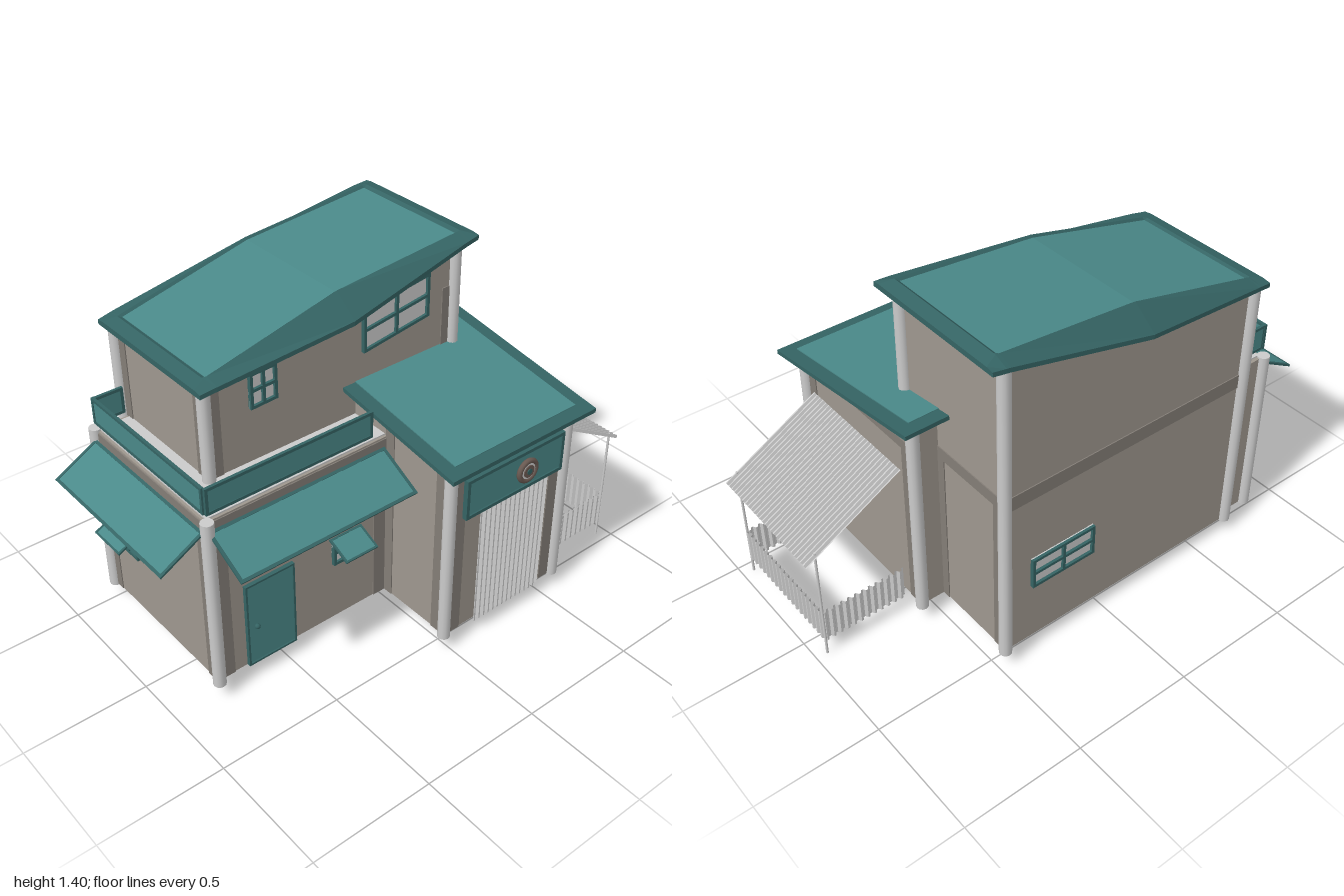
import * as THREE from 'three';

const mat = (color, extra = {}) => new THREE.MeshStandardMaterial({ color, ...extra });
const GREY = mat(0xcccccc), SHEET = mat(0xcccccc, { side: THREE.DoubleSide, flatShading: true });
const WALL = mat(0x9f988f), TRIM = mat(0x847e77), TEAL = mat(0x4a8989), DARK = mat(0x356464);
const RUST = mat(0x6a5a52);

function add(parent, name, geo, material, x = 0, y = 0, z = 0) {
  const m = new THREE.Mesh(geo, material);
  m.name = name;
  m.position.set(x, y, z);
  parent.add(m);
  return m;
}
const box = (p, name, m, x0, x1, y0, y1, z0, z1) =>
  add(p, name, new THREE.BoxGeometry(x1 - x0, y1 - y0, z1 - z0), m, (x0 + x1) / 2, (y0 + y1) / 2, (z0 + z1) / 2);

function group(parent, name, x = 0, y = 0, z = 0, ry = 0) {
  const g = new THREE.Group();
  g.name = name;
  g.position.set(x, y, z);
  g.rotation.y = ry;
  parent.add(g);
  return g;
}
const polygon = pts => new THREE.Shape(pts.map(p => new THREE.Vector2(...p)));
const extrude = (shape, depth) => new THREE.ExtrudeGeometry(shape, { depth, bevelEnabled: false });

function post(p, name, x, z, y0, y1, r = 0.025) {
  add(p, name, new THREE.CylinderGeometry(r, r, y1 - y0, 12), GREY, x, (y0 + y1) / 2, z);
}

// Frame with panes cut out; k slants it along x
function frameGeo(w, h, border, depth, cols, rows, k = 0) {
  const quad = (x0, x1, y0, y1) => [[x0, y0 + k * x0], [x1, y0 + k * x1], [x1, y1 + k * x1], [x0, y1 + k * x0]];
  const shape = polygon(quad(-w / 2, w / 2, -h / 2, h / 2));
  const pw = (w - border * (cols + 1)) / cols, ph = (h - border * (rows + 1)) / rows;
  for (let i = 0; i < cols; i++) for (let j = 0; j < rows; j++) {
    const x = -w / 2 + border + i * (pw + border), y = -h / 2 + border + j * (ph + border);
    shape.holes.push(polygon(quad(x, x + pw, y, y + ph)));
  }
  return extrude(shape, depth);
}

// Light panel with a raised dark border on both sides
function board(p, name, w, h, x, y, z, ry = 0, border = 0.012, t = 0.012) {
  const g = group(p, name, x, y, z, ry);
  add(g, 'panel', new THREE.BoxGeometry(w - border, h - border, t * 0.5), TEAL);
  add(g, 'border', frameGeo(w, h, border, t, 1, 1), DARK, 0, 0, -t / 2);
  return g;
}

// Sloping hood hung from a wall: top edge at y, falling by drop and reaching out
function awning(p, name, w, x, y, drop, out, border) {
  const g = board(p, name, w, Math.hypot(drop, out), x, y - drop / 2, 0.008 + out / 2, 0, border, 0.008);
  g.rotation.x = -Math.atan2(out, drop);
}

function windowUnit(p, name, w, h, x, y, k = 0) {
  const g = group(p, name, x, y, 0);
  add(g, 'frame', frameGeo(w, h, 0.012, 0.016, 2, 2, k), DARK);
  const q = polygon([[-w / 2, -h / 2 - k * w / 2], [w / 2, -h / 2 + k * w / 2], [w / 2, h / 2 + k * w / 2], [-w / 2, h / 2 - k * w / 2]]);
  add(g, 'glass', extrude(q, 0.005), GREY);
}

// Corrugated sheet in the xy plane, ridges running along y
function corrugated(p, name, w, h, ridges, x, y, z, ry = 0, amp = 0.006) {
  const n = ridges * 4, geo = new THREE.PlaneGeometry(w, h, n, 1), pos = geo.attributes.position;
  for (let i = 0; i < pos.count; i++) pos.setZ(i, (i % (n + 1)) % 4 < 2 ? amp : -amp);
  geo.computeVertexNormals();
  const m = add(p, name, geo, SHEET, x, y, z);
  m.rotation.y = ry;
  return m;
}

// Darker strips at the ends and top of a wall face
function wallTrim(p, x0, x1, y0, y1, side, top) {
  const t = 0.004;
  box(p, 'edgeStrip', TRIM, x0, x0 + side, y0, y1, -t, t);
  box(p, 'edgeStrip', TRIM, x1 - side, x1, y0, y1, -t, t);
  if (top) box(p, 'topStrip', TRIM, x0 + side, x1 - side, y1 - top, y1, -t, t);
}

// Closed solid through equal cross-sections; each ring runs clockwise seen from the first end
function loft(rings) {
  const out = [], n = rings[0].length;
  const tri = (a, b, c) => out.push(...a, ...b, ...c);
  for (let s = 0; s < rings.length - 1; s++) for (let i = 0; i < n; i++) {
    const j = (i + 1) % n, a = rings[s], b = rings[s + 1];
    tri(a[i], a[j], b[j]);
    tri(a[i], b[j], b[i]);
  }
  const a = rings[0], b = rings[rings.length - 1];
  for (let i = 1; i < n - 1; i++) {
    tri(a[0], a[i + 1], a[i]);
    tri(b[0], b[i], b[i + 1]);
  }
  const geo = new THREE.BufferGeometry();
  geo.setAttribute('position', new THREE.Float32BufferAttribute(out, 3));
  geo.computeVertexNormals();
  return geo;
}

export function createModel() {
  const root = new THREE.Group();
  root.name = 'building';
  const F = 0.065;

  // Wall bodies
  box(root, 'groundFloor', WALL, -0.515, 0.2, F, 0.797, -0.1, 0.81);
  box(root, 'balconyDeck', GREY, -0.5, 0.19, 0.79, 0.803, -0.1, 0.8);
  const tower = extrude(polygon([[-0.465, F], [0.67, F], [0.67, 1.19], [0.1, 1.262], [-0.465, 1.37]]), 0.56);
  tower.rotateY(-Math.PI / 2);
  add(root, 'tower', tower, WALL, 0.02);
  add(root, 'wing', extrude(polygon([[-0.165, F], [0.545, F], [0.545, 0.845], [-0.165, 0.95]]), 0.585), WALL, 0, 0, -0.57);

  // Corner posts
  for (const x of [-0.515, 0.21]) post(root, 'frontPost', x, 0.81, 0.06, 0.805);
  for (const [x, y0] of [[-0.54, 0.06], [0.02, 0.78]]) {
    post(root, 'towerFrontPost', x, 0.67, y0, 1.2);
    post(root, 'towerBackPost', x, -0.465, y0, 1.375);
  }
  for (const z of [0.015, -0.57]) post(root, 'wingPost', 0.545, z, 0.06, 0.842);
  post(root, 'wingBackPost', -0.165, -0.57, 0.06, 0.94);

  // Main roof: rim widest at the bend, raised top with a sunken panel
  // (z, rim half width, top half width, rim height, top height, panel depth)
  const C = -0.248;
  const sections = [
    [0.715, 0.323, 0.29, 1.198, 1.203, 0], [0.665, 0.328, 0.27, 1.206, 1.217, 0], [0.65, 0.33, 0.27, 1.208, 1.221, 0.01],
    [0.1, 0.37, 0.27, 1.272, 1.35, 0.01], [-0.465, 0.326, 0.27, 1.376, 1.398, 0.01],
    [-0.48, 0.325, 0.27, 1.378, 1.4, 0], [-0.53, 0.32, 0.29, 1.384, 1.388, 0]];
  add(root, 'mainRoof', loft(sections.map(([z, o, i, r, t, d]) => [
    [C - o, r - 0.018, z], [C - o, r, z], [C - i, t, z], [C - i + 0.01, t - d, z],
    [C + i - 0.01, t - d, z], [C + i, t, z], [C + o, r, z], [C + o, r - 0.018, z]
  ])), DARK);
  add(root, 'mainRoofPanel', loft(sections.slice(2, 5).map(([z, , i, , t, d]) => [
    [C - i + 0.01, t - d - 0.01, z], [C - i + 0.01, t - d + 0.002, z],
    [C + i - 0.01, t - d + 0.002, z], [C + i - 0.01, t - d - 0.01, z]
  ])), TEAL);

  // Wing roof: single slope falling to the left side
  const roofY = x => 0.945 - 0.152 * x;
  const slab = (x0, x1, z0, z1, lo, hi) => loft([x1, x0].map(x => [
    [x, roofY(x) + lo, z0], [x, roofY(x) + hi, z0], [x, roofY(x) + hi, z1], [x, roofY(x) + lo, z1]
  ]));
  add(root, 'wingRoof', slab(-0.24, 0.613, 0.072, -0.645, -0.02, -0.002), DARK);
  add(root, 'wingRoofPanel', slab(-0.18, 0.56, 0.015, -0.59, -0.01, 0.002), TEAL);

  // Faces: local z points out of each wall
  const front = group(root, 'frontWall', 0, 0, 0.81);
  wallTrim(front, -0.5, 0.19, F, 0.79, 0.045, 0.04);
  awning(front, 'frontAwning', 0.705, -0.15, 0.76, 0.1, 0.182);
  windowUnit(front, 'frontWindow', 0.13, 0.115, -0.345, 0.382);
  awning(front, 'frontWindowHood', 0.17, -0.345, 0.458, 0.045, 0.092, 0.008);

  const right = group(root, 'doorWall', 0.2, 0, 0, Math.PI / 2);
  wallTrim(right, -0.79, -0.02, F, 0.79, 0.055, 0.04);
  awning(right, 'sideAwning', 0.775, -0.422, 0.76, 0.1, 0.187);
  windowUnit(right, 'sideWindow', 0.115, 0.115, -0.22, 0.387);
  awning(right, 'sideWindowHood', 0.15, -0.22, 0.458, 0.045, 0.102, 0.008);
  const door = group(right, 'door', -0.57, 0.255, 0);
  add(door, 'doorPanel', new THREE.BoxGeometry(0.205, 0.37, 0.02), TEAL);
  add(door, 'doorFrame', frameGeo(0.218, 0.38, 0.008, 0.016, 1, 1), DARK, 0, 0, 0);
  add(door, 'doorKnob', new THREE.SphereGeometry(0.011, 12, 8), DARK, -0.067, -0.012, 0.018);

  const towerFront = group(root, 'towerFront', 0, 0, 0.67);
  wallTrim(towerFront, -0.515, 0, 0.8, 1.185, 0.04, 0.03);
  const towerSide = group(root, 'towerSide', 0.02, 0, 0, Math.PI / 2);
  wallTrim(towerSide, -0.645, 0.44, 0.8, 1.185, 0.035, 0);
  windowUnit(towerSide, 'smallUpperWindow', 0.115, 0.145, -0.432, 1.1, 0.04);
  windowUnit(towerSide, 'largeUpperWindow', 0.315, 0.18, 0.172, 1.17, 0.14);

  const outer = group(root, 'towerOuterWall', -0.54, 0, 0, -Math.PI / 2);
  box(outer, 'floorBand', TRIM, -0.44, 0.645, 0.745, 0.805, -0.004, 0.004);
  windowUnit(outer, 'outerWallWindow', 0.29, 0.135, -0.205, 0.395);
  const towerBack = group(root, 'towerBack', 0, 0, -0.465, Math.PI);
  wallTrim(towerBack, 0.165, 0.515, F, 0.8, 0.035, 0.05);

  const wingFront = group(root, 'wingFront', 0, 0, 0.015);
  wallTrim(wingFront, 0.2, 0.52, F, 0.84, 0.045, 0);
  const wingBack = group(root, 'wingBack', 0, 0, -0.57, Math.PI);
  wallTrim(wingBack, -0.52, 0.14, F, 0.84, 0.045, 0.04);

  // Shop front: plain board with a round medallion, rolling shutter below
  const shop = group(root, 'shopFront', 0.545, 0, 0, Math.PI / 2);
  wallTrim(shop, 0.01, 0.545, F, 0.84, 0.05, 0.035);
  board(shop, 'signBoard', 0.495, 0.172, 0.292, 0.684, 0.013, 0, 0.014, 0.024);
  const medal = group(shop, 'medallion', 0.347, 0.682, 0.026);
  add(medal, 'medallionRim', new THREE.TorusGeometry(0.042, 0.011, 8, 24), RUST);
  for (const [r, d, m] of [[0.036, 0.012, GREY], [0.026, 0.02, RUST], [0.012, 0.026, DARK]])
    add(medal, 'medallionDisc', new THREE.CylinderGeometry(r, r, d, 24), m).rotation.x = Math.PI / 2;
  corrugated(shop, 'shutter', 0.345, 0.54, 14, 0.297, 0.335, 0.012, 0, 0.008);

  // Balcony boards
  board(root, 'frontBalconyBoard', 0.705, 0.11, -0.155, 0.885, 0.81);
  board(root, 'sideBalconyBoard', 0.72, 0.11, 0.205, 0.885, 0.45, Math.PI / 2);
  board(root, 'endBalconyBoard', 0.12, 0.11, -0.5, 0.885, 0.75, Math.PI / 2);
  for (const x of [-0.3, 0.04]) post(root, 'boardStub', x, 0.8, 0.8, 0.84, 0.004);

  // Rear lean-to: corrugated canopy, thin poles and low fence
  const canopy = corrugated(root, 'canopy', 0.565, Math.hypot(0.41, 0.23), 28, 0.18, 0.598, -0.795);
  canopy.rotation.x = Math.atan2(0.41, 0.23);
  for (const x of [-0.09, 0.455]) {
    post(root, 'canopyPole', x, -0.953, 0, 0.517, 0.005);
    corrugated(root, 'sideFence', 0.36, 0.145, 12, x, 0.142, -0.775, Math.PI / 2);
  }
  corrugated(root, 'backFence', 0.545, 0.145, 18, 0.182, 0.142, -0.953);

  return root;
}
